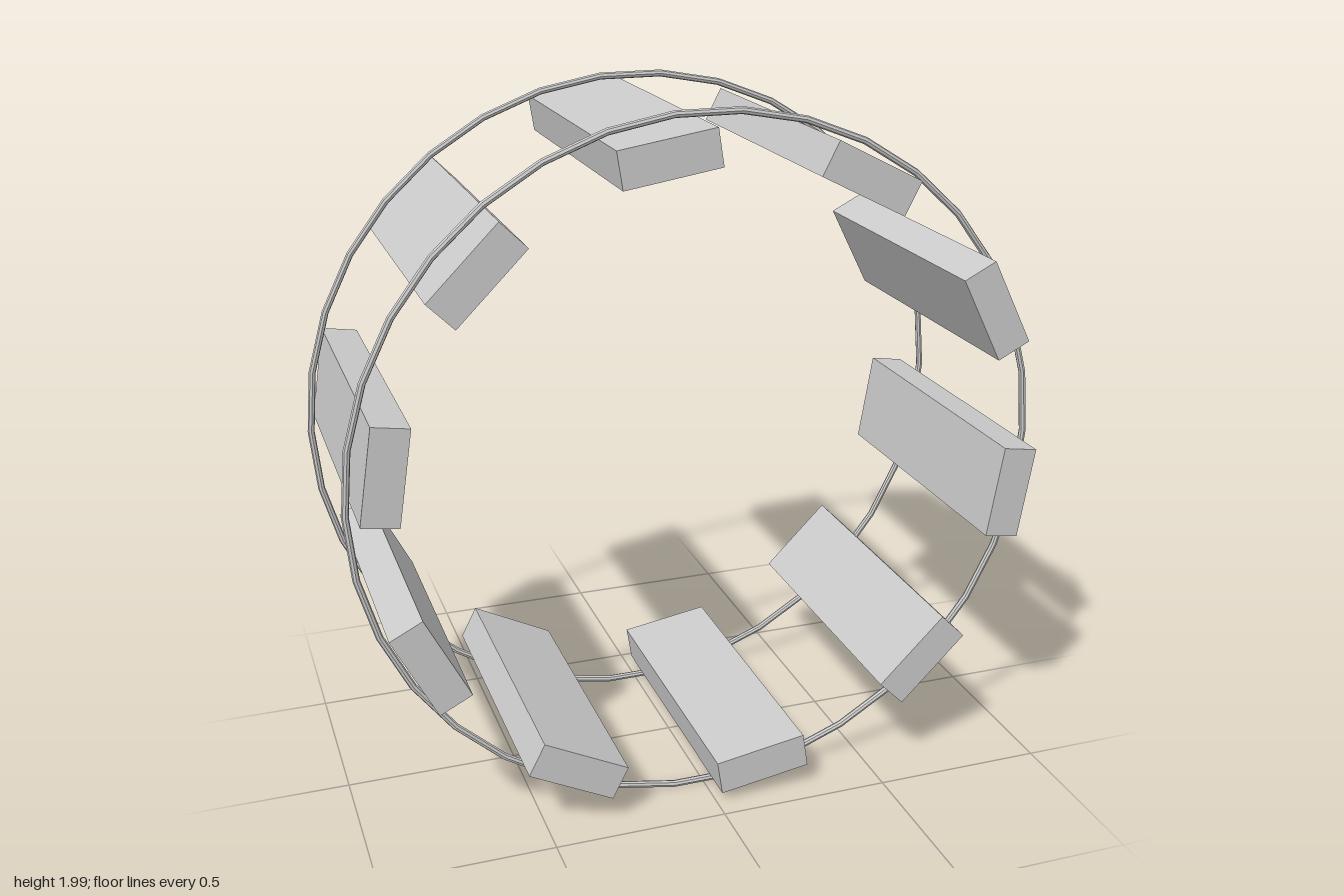
import * as THREE from 'three';

const SLATS = 10;
const THICK = 0.103, WIDTH = 0.27, HALF_DEPTH = 0.436;
const WALL = 0.026, POCKET = 0.055;
const SEGMENTS = 34, WIRE = 0.01;

// Rectangle outline centred on the origin
function trace(path, w, h) {
  path.moveTo(-w / 2, -h / 2);
  path.lineTo(w / 2, -h / 2);
  path.lineTo(w / 2, h / 2);
  path.lineTo(-w / 2, h / 2);
  path.closePath();
  return path;
}

export function createModel() {
  const material = new THREE.MeshStandardMaterial({ color: 0xcccccc, flatShading: true });
  const model = new THREE.Group();
  model.name = 'slattedWheel';

  // The hoop has a flat segment at the bottom, which rests on y = 0
  const wheel = new THREE.Group();
  wheel.name = 'wheel';
  wheel.position.y = Math.cos(Math.PI / SEGMENTS);
  model.add(wheel);

  // Two thin wire hoops
  const hoopGeometry = new THREE.TorusGeometry(1 - WIRE, WIRE, 8, SEGMENTS);
  for (const [name, z] of [['frontHoop', 0.318], ['backHoop', -0.342]]) {
    const hoop = new THREE.Mesh(hoopGeometry, material);
    hoop.name = name;
    hoop.position.z = z;
    wheel.add(hoop);
  }

  // Slat: solid body, with a shallow rectangular pocket in its back end
  const bodyLength = 2 * HALF_DEPTH - POCKET;
  const bodyGeometry = new THREE.BoxGeometry(THICK, WIDTH, bodyLength);
  bodyGeometry.translate(0, 0, HALF_DEPTH - bodyLength / 2);

  const rim = trace(new THREE.Shape(), THICK, WIDTH);
  rim.holes.push(trace(new THREE.Path(), THICK - 2 * WALL, WIDTH - 2 * WALL));
  const rimGeometry = new THREE.ExtrudeGeometry(rim, { depth: POCKET, bevelEnabled: false });
  rimGeometry.translate(0, 0, -HALF_DEPTH);

  // Slats spaced evenly just inside the hoops
  for (let i = 0; i < SLATS; i++) {
    const angle = THREE.MathUtils.degToRad(-9 + (i * 360) / SLATS);
    const slat = new THREE.Group();
    slat.name = `slat${i + 1}`;
    const body = new THREE.Mesh(bodyGeometry, material);
    body.name = 'slatBody';
    const pocketRim = new THREE.Mesh(rimGeometry, material);
    pocketRim.name = 'slatPocketRim';
    slat.add(body, pocketRim);
    slat.position.set(0.908 * Math.cos(angle), 0.908 * Math.sin(angle), 0);
    slat.rotation.z = angle;
    wheel.add(slat);
  }

  return model;
}
